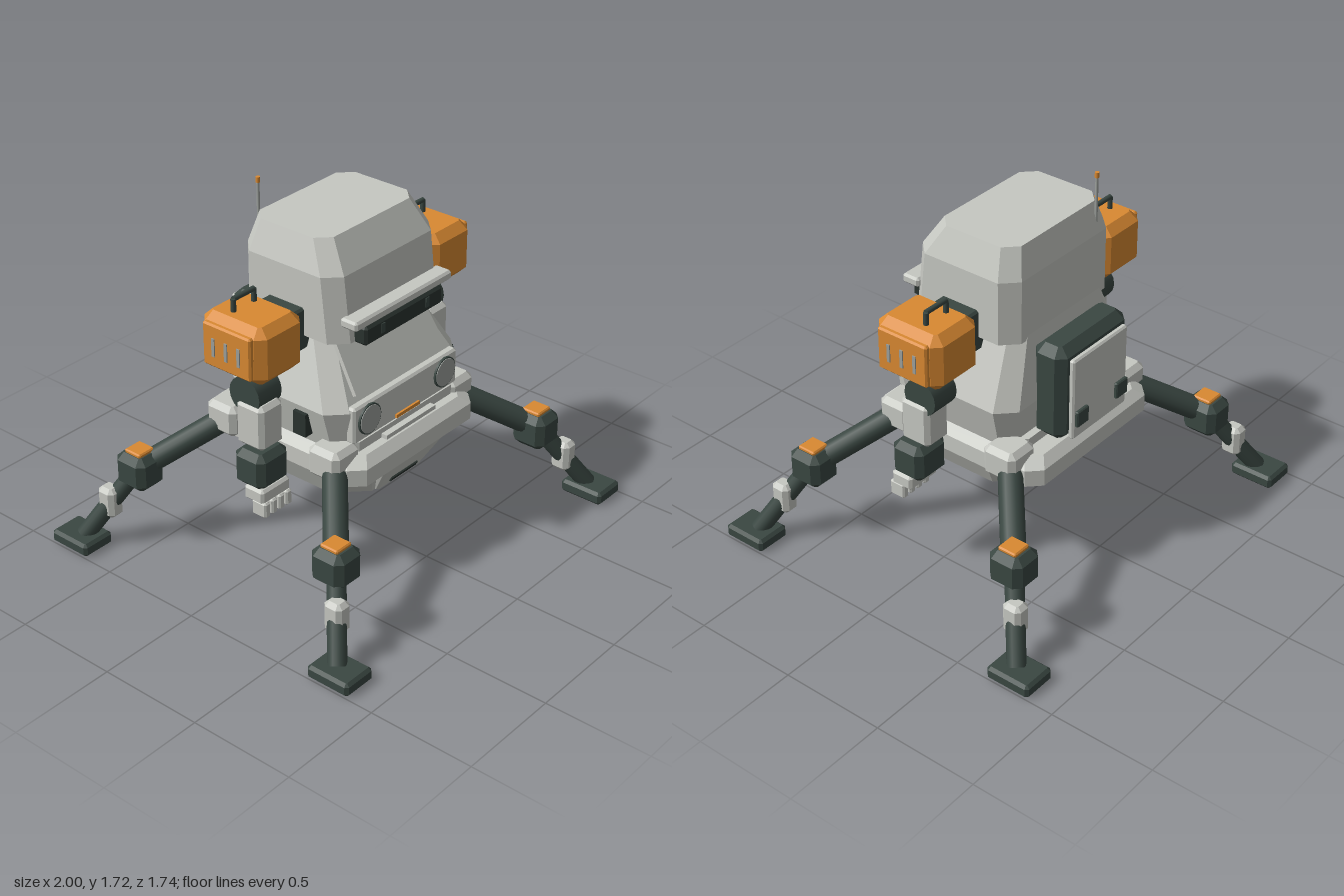
import * as THREE from 'three';

const material = (name, color) => {
  const m = new THREE.MeshStandardMaterial({ color });
  m.name = name;
  return m;
};

// Stack of corner-cut rectangles; each ring is [y, halfWidth, zBack, zFront, cornerCut]
function loft(rings) {
  const pos = [];
  const loops = rings.map(([y, w, zb, zf, c]) => [
    [w, y, zf - c], [w, y, zb + c], [w - c, y, zb], [-w + c, y, zb],
    [-w, y, zb + c], [-w, y, zf - c], [-w + c, y, zf], [w - c, y, zf],
  ]);
  const tri = (a, b, c) => pos.push(...a, ...b, ...c);
  for (let k = 0; k < loops.length - 1; k++) {
    for (let i = 0; i < 8; i++) {
      const j = (i + 1) % 8, lo = loops[k], hi = loops[k + 1];
      tri(lo[i], lo[j], hi[j]);
      tri(lo[i], hi[j], hi[i]);
    }
  }
  const bottom = loops[0], top = loops[loops.length - 1];
  for (let i = 1; i < 7; i++) {
    tri(top[0], top[i], top[i + 1]);
    tri(bottom[0], bottom[i + 1], bottom[i]);
  }
  const g = new THREE.BufferGeometry();
  g.setAttribute('position', new THREE.Float32BufferAttribute(pos, 3));
  g.computeVertexNormals();
  return g;
}

// Box with bevelled edges
function bevelBox(w, h, d, c) {
  const x = w / 2, y = h / 2, z = d / 2, e = c * 0.3;
  return loft([
    [-y, x - c, c - z, z - c, e], [c - y, x, -z, z, c],
    [y - c, x, -z, z, c], [y, x - c, c - z, z - c, e],
  ]);
}

export function createModel() {
  const light = material('light grey shell', 0xc6c8c2);
  const dark = material('dark green metal', 0x3a4742);
  const orange = material('orange paint', 0xd98932);
  const grey = material('mid grey metal', 0x9da19d);
  const black = material('dark visor', 0x2a332f);
  const model = new THREE.Group();

  const group = (name) => {
    const g = new THREE.Group();
    g.name = name;
    model.add(g);
    return g;
  };
  const add = (parent, name, geo, mat, x = 0, y = 0, z = 0) => {
    const m = new THREE.Mesh(geo, mat);
    m.name = name;
    m.position.set(x, y, z);
    parent.add(m);
    return m;
  };
  const block = (parent, name, mat, size, at, bevel = 0) => add(parent, name,
    bevel ? bevelBox(...size, bevel) : new THREE.BoxGeometry(...size), mat, ...at);
  const rod = (parent, name, mat, a, b, r) => {
    const p = new THREE.Vector3(...a), q = new THREE.Vector3(...b);
    const m = add(parent, name, new THREE.CylinderGeometry(r, r, p.distanceTo(q), 16), mat);
    m.position.copy(p).add(q).multiplyScalar(0.5);
    m.quaternion.setFromUnitVectors(new THREE.Vector3(0, 1, 0), q.sub(p).normalize());
    return m;
  };

  // Body shells, bottom to top
  const body = group('body');
  add(body, 'lowerHull', loft([
    [0.36, 0.30, -0.25, 0.32, 0.13], [0.52, 0.38, -0.28, 0.38, 0.13],
  ]), light);
  add(body, 'waistFrame', loft([
    [0.495, 0.37, -0.42, 0.41, 0.06], [0.535, 0.425, -0.46, 0.45, 0.06],
    [0.615, 0.425, -0.46, 0.45, 0.06], [0.655, 0.38, -0.42, 0.41, 0.06],
  ]), light);
  add(body, 'waistPlinth', loft([
    [0.64, 0.38, -0.34, 0.37, 0.06], [0.70, 0.38, -0.34, 0.37, 0.06],
  ]), light);
  add(body, 'torso', loft([
    [0.66, 0.39, -0.30, 0.345, 0.07], [0.85, 0.44, -0.32, 0.35, 0.08],
    [1.16, 0.31, -0.275, 0.16, 0.06],
  ]), light);
  add(body, 'chinPlate', loft([
    [0.36, 0.15, 0.2, 0.335, 0.01], [0.52, 0.205, 0.25, 0.43, 0.01],
  ]), light);
  const slot = block(body, 'chinSlot', black, [0.18, 0.028, 0.008], [0, 0.398, 0.361]);
  slot.rotation.x = 0.54;

  // Head with brow and visor
  const head = group('head');
  add(head, 'headShell', loft([
    [1.14, 0.36, -0.275, 0.295, 0.07], [1.44, 0.36, -0.275, 0.26, 0.07],
    [1.58, 0.31, -0.24, 0.17, 0.06],
  ]), light);
  block(head, 'brow', light, [0.65, 0.045, 0.09], [0, 1.245, 0.31], 0.01);
  block(head, 'visor', black, [0.52, 0.09, 0.09], [0, 1.175, 0.31], 0.012);
  for (const s of [-1, 1]) block(head, 'visorMark', dark, [0.022, 0.045, 0.006], [s * 0.15, 1.18, 0.356]);
  rod(head, 'antenna', grey, [-0.24, 1.45, -0.256], [-0.24, 1.70, -0.256], 0.007);
  rod(head, 'antennaTip', orange, [-0.24, 1.70, -0.256], [-0.24, 1.725, -0.256], 0.01);

  // Sloping front panel
  const panelShape = new THREE.Shape([[-0.305, 0], [0.305, 0], [0.285, 0.285], [-0.285, 0.285]]
    .map((p) => new THREE.Vector2(...p)));
  const panel = add(body, 'slopingPanel',
    new THREE.ExtrudeGeometry(panelShape, { depth: 0.02, bevelEnabled: false }), light, 0, 0.9, 0.322);
  panel.rotation.x = -0.55;

  // Lamp panel
  block(body, 'lampPanel', light, [0.71, 0.175, 0.05], [0, 0.787, 0.347], 0.01);
  block(body, 'frontStrip', orange, [0.16, 0.017, 0.02], [0, 0.722, 0.372]);
  block(body, 'frontStep', light, [0.34, 0.03, 0.06], [0, 0.66, 0.37]);
  for (const s of [-1, 1]) {
    const rim = add(body, 'lampRim', new THREE.CylinderGeometry(0.072, 0.072, 0.02, 24), dark, s * 0.26, 0.795, 0.372);
    const lens = add(body, 'lampLens', new THREE.CylinderGeometry(0.066, 0.066, 0.024, 24), grey, s * 0.26, 0.795, 0.373);
    rim.rotation.x = lens.rotation.x = Math.PI / 2;
    block(body, 'sideVent', black, [0.05, 0.11, 0.07], [s * 0.425, 0.765, 0.145]);
  }

  // Backpack
  const pack = group('backpack');
  block(pack, 'packCase', dark, [0.48, 0.465, 0.17], [0, 0.898, -0.365], 0.04);
  block(pack, 'packPanel', light, [0.38, 0.40, 0.03], [0, 0.88, -0.462], 0.008);
  for (const s of [-1, 1]) block(pack, 'packLatch', dark, [0.08, 0.08, 0.02], [s * 0.14, 0.785, -0.485], 0.005);

  for (const s of [-1, 1]) {
    // Arm: shoulder pod, elbow, forearm and hand
    const arm = group(s > 0 ? 'leftArm' : 'rightArm');
    block(arm, 'shoulderMount', dark, [0.20, 0.20, 0.20], [s * 0.37, 1.17, 0], 0.01);
    block(arm, 'shoulderPod', orange, [0.28, 0.265, 0.35], [s * 0.572, 1.182, 0], 0.04);
    block(arm, 'podCover', orange, [0.03, 0.20, 0.265], [s * 0.718, 1.184, 0], 0.008);
    for (const z of [-0.07, 0, 0.07]) block(arm, 'podSlit', grey, [0.008, 0.085, 0.016], [s * 0.734, 1.18, z]);
    const handle = [[0.505, 1.30], [0.505, 1.372], [0.63, 1.372], [0.63, 1.30]]
      .map(([x, y]) => [s * x, y, -0.048]);
    for (let i = 0; i < 3; i++) rod(arm, 'podHandle', dark, handle[i], handle[i + 1], 0.012);
    block(arm, 'upperArm', light, [0.11, 0.13, 0.11], [s * 0.53, 1.02, 0], 0.015);
    rod(arm, 'elbow', dark, [s * 0.49, 0.93, 0], [s * 0.63, 0.93, 0], 0.085);
    block(arm, 'forearm', light, [0.145, 0.215, 0.155], [s * 0.57, 0.795, 0.028], 0.02);
    block(arm, 'wrist', dark, [0.19, 0.175, 0.17], [s * 0.588, 0.60, 0.05], 0.03);
    block(arm, 'palm', light, [0.18, 0.07, 0.11], [s * 0.588, 0.49, 0.08], 0.012);
    for (let i = 0; i < 4; i++) {
      block(arm, 'finger', light, [0.036, 0.075, 0.08], [s * (0.52 + i * 0.046), 0.43, 0.108], 0.008);
    }

    // Legs, front and back
    for (const f of [-1, 1]) {
      const leg = group((f > 0 ? 'front' : 'back') + (s > 0 ? 'LeftLeg' : 'RightLeg'));
      block(leg, 'hip', light, [0.17, 0.15, 0.17], [s * 0.40, 0.63, f * 0.295], 0.025);
      rod(leg, 'thigh', dark, [s * 0.40, 0.615, f * 0.30], [s * 0.71, 0.385, f * 0.57], 0.055);
      block(leg, 'knee', dark, [0.165, 0.17, 0.175], [s * 0.712, 0.382, f * 0.572], 0.032);
      block(leg, 'kneeCap', orange, [0.095, 0.025, 0.095], [s * 0.712, 0.47, f * 0.57], 0.006);
      rod(leg, 'shin', dark, [s * 0.72, 0.375, f * 0.58], [s * 0.91, 0.05, f * 0.745], 0.042);
      block(leg, 'shinCollar', light, [0.085, 0.15, 0.095], [s * 0.817, 0.22, f * 0.665], 0.02);
      block(leg, 'foot', dark, [0.17, 0.065, 0.22], [s * 0.915, 0.033, f * 0.762], 0.014);
    }
  }
  return model;
}
